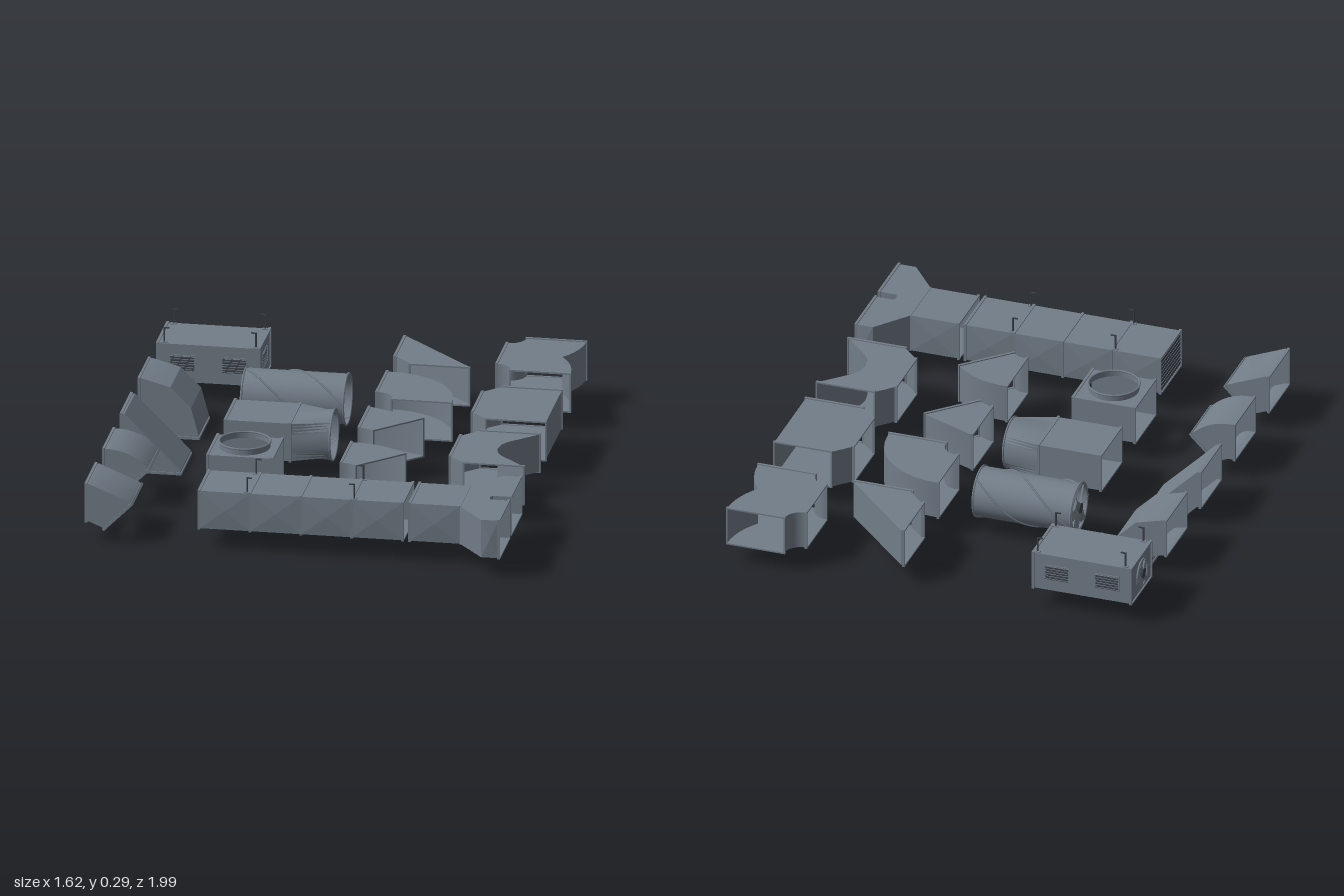
import * as THREE from 'three';
import { toCreasedNormals } from 'three/addons/utils/BufferGeometryUtils.js';

const metal = new THREE.MeshStandardMaterial({ color: 0x727d88, side: THREE.DoubleSide });
const flatMetal = new THREE.MeshStandardMaterial({ color: 0x727d88, side: THREE.DoubleSide, flatShading: true });
const dark = new THREE.MeshStandardMaterial({ color: 0x3a4047, side: THREE.DoubleSide });

const W = 0.228, H = 0.15, TOP = 0.236, MID = TOP - H / 2, RIM = 0.004;

function mesh(name, geo, parent, mat = metal, x = 0, y = 0, z = 0) {
  const m = new THREE.Mesh(geo, mat);
  m.name = name;
  m.position.set(x, y, z);
  parent.add(m);
  return m;
}
const box = (name, parent, w, h, d, x, y, z, mat) =>
  mesh(name, new THREE.BoxGeometry(w, h, d), parent, mat, x, y, z);

function group(name, parent, x = 0, y = 0, z = 0) {
  const g = new THREE.Group();
  g.name = name;
  g.position.set(x, y, z);
  parent.add(g);
  return g;
}

// Rectangular flange, centred, with its opening along z
function frameGeometry(w, h, rim = RIM, depth = 0.01) {
  const rect = (a, b) => [[-a, -b], [a, -b], [a, b], [-a, b]].map(p => new THREE.Vector2(...p));
  const s = new THREE.Shape(rect(w / 2 + rim, h / 2 + rim));
  s.holes.push(new THREE.Path(rect(w / 2 - 0.002, h / 2 - 0.002)));
  return new THREE.ExtrudeGeometry(s, { depth, bevelEnabled: false }).translate(0, 0, -depth / 2);
}

// Sheet-metal duct: wall polylines in a plane, two caps, and a flange in each gap between walls
function duct(name, parent, walls, depth, hole) {
  const g = group(name, parent);
  const shape = new THREE.Shape(walls.flat().map(p => new THREE.Vector2(...p)));
  mesh('lowerSheet', new THREE.ShapeGeometry(shape), g).position.z = depth;
  const upper = shape.clone();
  if (hole) upper.holes.push(new THREE.Path().absarc(...hole, 0, Math.PI * 2, true));
  mesh('upperSheet', new THREE.ShapeGeometry(upper, 24), g);
  walls.forEach((line, i) => {
    const pos = [], idx = [];
    line.forEach(([u, v], k) => {
      pos.push(u, v, 0, u, v, depth);
      if (k) idx.push(2 * k - 2, 2 * k - 1, 2 * k, 2 * k, 2 * k - 1, 2 * k + 1);
    });
    const geo = new THREE.BufferGeometry();
    geo.setAttribute('position', new THREE.Float32BufferAttribute(pos, 3));
    geo.setIndex(idx);
    mesh('sideWall', toCreasedNormals(geo, 0.4), g);
    const a = new THREE.Vector3(...line[line.length - 1], 0);
    const b = new THREE.Vector3(...walls[(i + 1) % walls.length][0], 0);
    const along = b.clone().sub(a), up = new THREE.Vector3(0, 0, 1), len = along.length();
    along.normalize();
    const f = mesh('flange', frameGeometry(len, depth), g);
    f.quaternion.setFromRotationMatrix(new THREE.Matrix4().makeBasis(along, up, along.clone().cross(up)));
    f.position.copy(a).add(b).multiplyScalar(0.5).setZ(depth / 2);
  });
  return g;
}
// Flat-lying duct: outline given in x and z
function flatDuct(name, parent, walls, hole) {
  const g = duct(name, parent, walls, H, hole);
  g.rotation.x = Math.PI / 2;
  g.position.y = TOP;
  return g;
}
const straight = (x0, x1, z) => [[[x0, z - W / 2], [x1, z - W / 2]], [[x1, z + W / 2], [x0, z + W / 2]]];

// Elbow walls: outer curve forwards, inner curve back, with short straight stubs
function elbow(cx, cy, rIn, rOut, sweep, segs, up, stub) {
  const line = r => {
    const pts = [[cx - stub, cy + up * r]];
    for (let i = 0; i <= segs; i++) {
      const a = sweep * i / segs;
      pts.push([cx + r * Math.sin(a), cy + up * r * Math.cos(a)]);
    }
    const [x, y] = pts[pts.length - 1];
    pts.push([x + stub * Math.cos(sweep), y - up * stub * Math.sin(sweep)]);
    return pts;
  };
  return [line(rOut), line(rIn).reverse()];
}

// Tee walls: two inner corners and a shaped back, mirrored about z
function tee(name, parent, z, segs, halfBack) {
  const corner = [];
  for (let i = 0; i <= segs; i++) {
    const a = Math.PI / 2 * i / segs;
    corner.push([0.502 + 0.064 * Math.sin(a), -0.178 + 0.064 * Math.cos(a)]);
  }
  const flip = pts => pts.map(([x, v]) => [x, -v]).reverse();
  const walls = [corner, [...halfBack, ...flip(halfBack).slice(1)], flip(corner)];
  flatDuct(name, parent, walls.map(l => l.map(([x, v]) => [x, v + z])));
}

// Louvred grille facing +z
function grille(name, parent, w, h, slats) {
  const g = group(name, parent);
  mesh('grilleBack', new THREE.PlaneGeometry(w, h), g, dark).position.z = 0.001;
  mesh('grilleFrame', frameGeometry(w, h, 0.002, 0.006), g);
  for (let i = 0; i < slats; i++)
    box('slat', g, w, h / slats * 0.6, 0.002, 0, h * ((i + 0.5) / slats - 0.5), 0.003).rotation.x = 0.5;
  return g;
}

// Fan facing -x
function fan(parent, x, y, z, r) {
  const g = group('fan', parent, x, y, z);
  g.rotation.y = -Math.PI / 2;
  mesh('fanRing', new THREE.TorusGeometry(r, 0.004, 8, 32), g);
  mesh('fanHub', new THREE.CylinderGeometry(0.02, 0.022, 0.016, 16).rotateX(Math.PI / 2), g, dark);
  for (let i = 0; i < 6; i++) {
    const arm = group('bladeArm', g);
    arm.rotation.z = i * Math.PI / 3;
    box('blade', arm, r, 0.026, 0.002, r / 2, 0, 0).rotation.x = 0.5;
  }
}

// Ceiling hanger: rod with a bent tip
function hanger(parent, x, z, dir) {
  box('hangerRod', parent, 0.005, 0.07, 0.006, x, 0.262, z, dark);
  box('hangerTip', parent, 0.02, 0.004, 0.006, x + dir * 0.009, 0.295, z, dark);
  box('hangerPlate', parent, 0.022, 0.004, 0.014, x, TOP + 0.002, z);
}

// Shallow pyramid crease on a side sheet
function crease(parent, x, z, w, dir) {
  const geo = new THREE.ConeGeometry(Math.SQRT1_2, 1, 4, 1, true).rotateY(Math.PI / 4).rotateX(Math.PI / 2)
    .translate(0, 0, 0.5).scale(w, H, 0.006);
  mesh('crease', geo, parent, flatMetal, x, MID, z).rotation.y = dir > 0 ? 0 : Math.PI;
}

const ringX = (name, parent, r, x, y, z) =>
  mesh(name, new THREE.TorusGeometry(r, 0.004, 8, 48).rotateY(Math.PI / 2), parent, metal, x, y, z);

export function createModel() {
  const root = new THREE.Group();
  root.name = 'ductKit';
  const R = Math.PI / 2;

  // Vertical elbows
  [['segmentedDrop', -0.43, R, 3], ['mitredDrop', -0.038, R, 1], ['curvedHalfDrop', 0.35, R / 2, 10],
    ['mitredHalfDrop', 0.74, R / 2, 1]].forEach(([name, z, sweep, segs]) => {
    duct(name, root, elbow(-0.784, 0.022, 0.064, 0.214, sweep, segs, 1, 0.013), W).position.z = z - W / 2;
  });

  // Horizontal elbows
  [['mitredElbow', -0.652, R, 1], ['curvedElbow', -0.262, R, 20], ['mitredHalfElbow', 0.13, R / 2, 1],
    ['curvedHalfElbow', 0.521, R / 2, 10]].forEach(([name, z, sweep, segs]) =>
    flatDuct(name, root, elbow(0.12, z, 0.06, 0.06 + W, sweep, segs, -1, 0.01)));

  // Tees
  const arc = [], end = Math.asin(0.178 / 0.292);
  for (let i = 0; i <= 10; i++)
    arc.push([0.502 + 0.292 * Math.cos(end * i / 10), -0.178 + 0.292 * Math.sin(end * i / 10)]);
  tee('curvedTee', root, -0.818, 10, arc);
  tee('squareTee', root, -0.28, 1, [[0.794, -0.178], [0.794, 0]]);
  tee('notchedTee', root, 0.206, 1, [[0.794, -0.178], [0.69, -0.075], [0.672, -0.045], [0.664, 0]]);

  // Air handler with grilles, fan and hangers
  const unit = group('airHandler', root);
  box('unitBody', unit, 0.39, H, W, -0.6, MID, -0.822);
  for (const x of [-0.795, -0.405])
    mesh('unitFlange', frameGeometry(W, H), unit, metal, x, MID, -0.822).rotation.y = R;
  for (const s of [1, -1]) {
    for (const x of [-0.7, -0.5]) {
      const v = grille('sideGrille', unit, 0.094, 0.062, 6);
      v.position.set(x, MID, -0.822 + s * W / 2);
      v.rotation.y = s > 0 ? 0 : Math.PI;
    }
    box('panelSeam', unit, 0.006, H, 0.004, -0.6, MID, -0.822 + s * W / 2);
    hanger(unit, -0.77, -0.822 + s * 0.103, 1);
    hanger(unit, -0.42, -0.822 + s * 0.103, -1);
  }
  const endGrille = grille('endGrille', unit, 0.094, 0.062, 6);
  endGrille.position.set(-0.405, MID, -0.822);
  endGrille.rotation.y = R;
  fan(unit, -0.8, MID, -0.822, 0.055);

  // Round duct with spiral ribs
  const spiral = group('spiralDuct', root, -0.215, MID, -0.43);
  mesh('roundPipe', new THREE.CylinderGeometry(0.096, 0.096, 0.39, 48, 1, true).rotateZ(R), spiral);
  for (const x of [-0.195, 0.195]) ringX('pipeRim', spiral, 0.098, x, 0, 0);
  for (let k = 0; k < 3; k++) {
    const pts = [];
    for (let i = 0; i <= 24; i++) {
      const a = k * Math.PI * 2 / 3 + i / 24 * 3.6;
      pts.push(new THREE.Vector3(-0.195 + 0.39 * i / 24, 0.097 * Math.cos(a), 0.097 * Math.sin(a)));
    }
    mesh('spiralRib', new THREE.TubeGeometry(new THREE.CatmullRomCurve3(pts), 60, 0.004, 6), spiral);
  }
  fan(spiral, -0.197, 0, 0, 0.09);

  // Square-to-round adapter
  const adapter = group('squareToRound', root), az = -0.038;
  flatDuct('squareSection', adapter, straight(-0.4, -0.152, az));
  const pos = [], idx = [], n = 48;
  for (let i = 0; i <= n; i++) {
    const side = Math.floor(i / 12) % 4, t = (i % 12) / 12 - 0.5;
    const [u, v] = [[t, 0.5], [0.5, -t], [-t, -0.5], [-0.5, t]][side];
    const a = Math.atan2(u, v);
    pos.push(-0.152, MID + v * H, az + u * W, -0.004, MID + 0.097 * Math.cos(a), az + 0.097 * Math.sin(a));
    if (i) idx.push(2 * i - 2, 2 * i - 1, 2 * i, 2 * i, 2 * i - 1, 2 * i + 1);
  }
  const loft = new THREE.BufferGeometry();
  loft.setAttribute('position', new THREE.Float32BufferAttribute(pos, 3));
  loft.setIndex(idx);
  mesh('transition', toCreasedNormals(loft, 0.4), adapter);
  ringX('roundRim', adapter, 0.098, -0.004, MID, az);

  // Straight duct with round take-off on top
  const takeoff = group('takeoffDuct', root);
  flatDuct('takeoffBody', takeoff, straight(-0.4, -0.153, 0.35), [-0.277, 0.35, 0.096]);
  mesh('takeoffCollar', new THREE.CylinderGeometry(0.096, 0.096, 0.026, 48, 1, true), takeoff, metal, -0.277, TOP + 0.013, 0.35);
  mesh('takeoffRim', new THREE.TorusGeometry(0.097, 0.004, 8, 48).rotateX(R), takeoff, metal, -0.277, 0.26, 0.35);

  // Long duct run with louvred end
  const run = group('longDuct', root), rz = 0.74, step = 0.1945;
  for (let i = 0; i < 4; i++) {
    const x0 = -0.365 + i * step;
    flatDuct('ductSection', run, straight(x0, x0 + step, rz));
    for (const s of [1, -1]) crease(run, x0 + step / 2, rz + s * W / 2, step, s);
  }
  for (const s of [1, -1]) {
    hanger(run, -0.183, rz + s * 0.103, 1);
    hanger(run, 0.226, rz + s * 0.103, -1);
  }
  const louvre = grille('endLouvre', run, W, H, 9);
  louvre.position.set(-0.365, MID, rz);
  louvre.rotation.y = -R;

  // Two-way splitter
  const split = group('splitter', root), half = [[0.44, -W / 2], [0.632, -W / 2], [0.735, -0.245], [0.803, -0.245]];
  const notch = [[0.803, -0.02], [0.735, -0.02], [0.728, -0.012], [0.728, 0.012], [0.735, 0.02], [0.803, 0.02]];
  const walls = [half, notch, half.map(([x, v]) => [x, -v]).reverse()];
  flatDuct('splitterBody', split, walls.map(l => l.map(([x, v]) => [x, v + rz])));
  mesh('splitterSeam', frameGeometry(W, H, 0.002, 0.006), split, metal, 0.632, MID, rz).rotation.y = R;
  for (const s of [1, -1]) {
    crease(split, 0.536, rz + s * W / 2, 0.19, s);
    crease(split, 0.769, rz + s * 0.245, 0.066, s);
  }
  return root;
}
